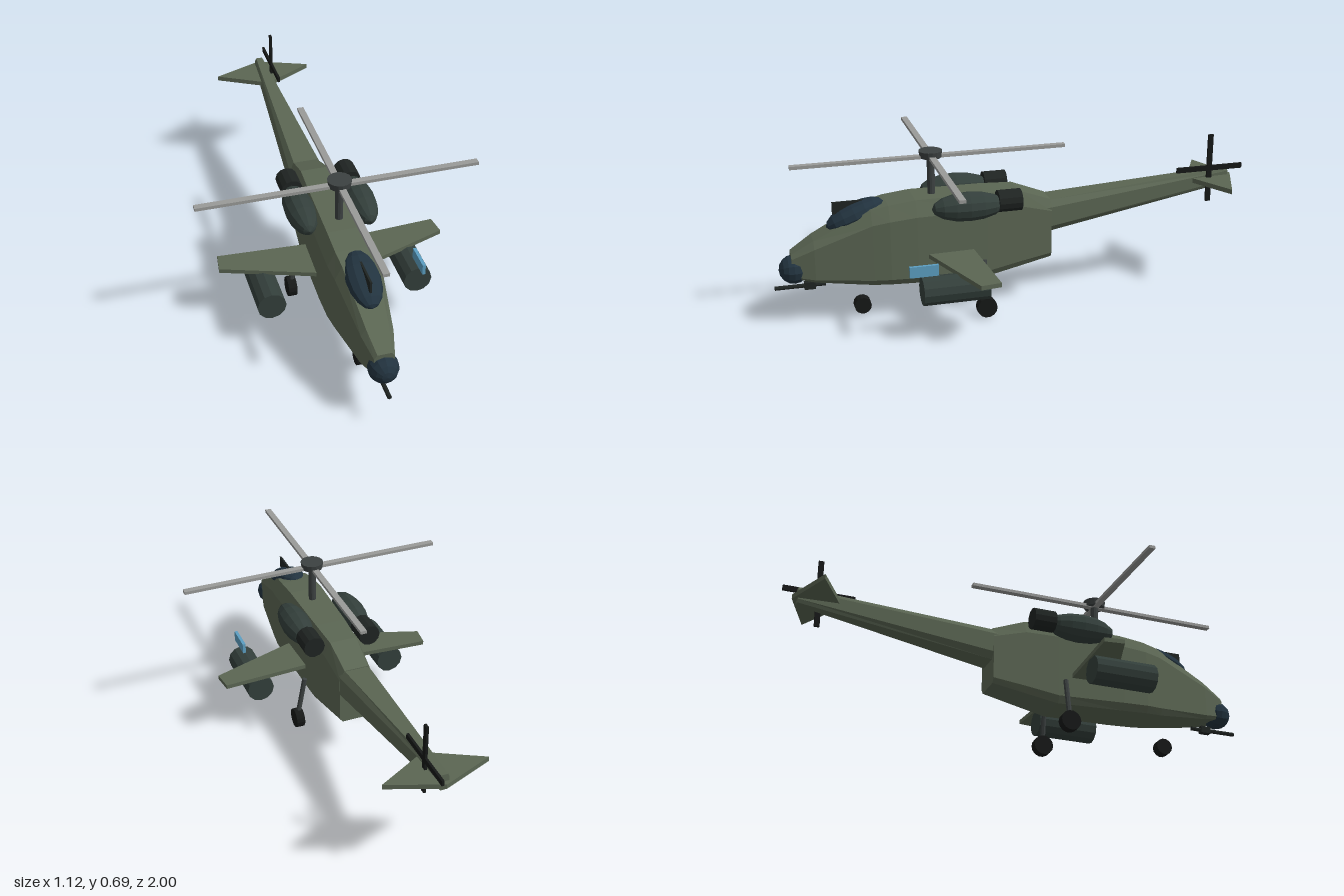
import * as THREE from 'three';

const mat = (color) => new THREE.MeshStandardMaterial({ color, flatShading: true });

export function createModel() {
  const model = new THREE.Group();
  model.name = 'helicopter';
  const green = mat(0x5b6653), pod = mat(0x333f3b), dark = mat(0x1f2422), black = mat(0x161817),
    glass = mat(0x22333f), metal = mat(0x3c4141), blade = mat(0x999a98), blue = mat(0x5c9fc2);

  const add = (name, geo, material, x = 0, y = 0, z = 0) => {
    const mesh = new THREE.Mesh(geo, material);
    mesh.name = name;
    mesh.position.set(x, y, z);
    model.add(mesh);
    return mesh;
  };
  const box = (w, h, d) => new THREE.BoxGeometry(w, h, d);
  const rodZ = (r, len, sides = 12) => new THREE.CylinderGeometry(r, r, len, sides).rotateX(Math.PI / 2);
  const wheel = (r, w) => new THREE.CylinderGeometry(r, r, w, 14).rotateZ(Math.PI / 2);
  const ball = (rx, ry, rz) =>
    new THREE.SphereGeometry(1, 12, 8).rotateX(Math.PI / 2).scale(rx, ry, rz);

  // Chamfered box sections [z, bottom, top, half width], skinned from front to back
  const loft = (sections, topRatio, bottomRatio, topCut, bottomCut) => {
    const rings = sections.map(([z, b, t, w]) => {
      const h = t - b, y1 = b + h * bottomCut, y2 = t - h * topCut;
      const half = [[w * bottomRatio, b], [w, y1], [w, y2], [w * topRatio, t]];
      const other = half.map(([x, y]) => [-x, y]).reverse();
      return [...half, ...other].map(([x, y]) => [x, y, z]);
    });
    const pos = [];
    const tri = (...points) => points.forEach((p) => pos.push(...p));
    for (let i = 0; i < rings.length - 1; i++) {
      for (let j = 0; j < 8; j++) {
        const k = (j + 1) % 8, f = rings[i], r = rings[i + 1];
        tri(f[j], r[j], f[k]);
        tri(f[k], r[j], r[k]);
      }
    }
    const front = rings[0], back = rings[rings.length - 1];
    for (let j = 1; j < 7; j++) {
      tri(front[0], front[j], front[j + 1]);
      tri(back[0], back[j + 1], back[j]);
    }
    const geo = new THREE.BufferGeometry();
    geo.setAttribute('position', new THREE.Float32BufferAttribute(pos, 3));
    geo.computeVertexNormals();
    return geo;
  };

  // Flat plate from an outline of [x, z] points
  const plate = (points, thickness) => {
    const shape = new THREE.Shape(points.map(([x, z]) => new THREE.Vector2(x, -z)));
    return new THREE.ExtrudeGeometry(shape, { depth: thickness, bevelEnabled: false })
      .rotateX(-Math.PI / 2).translate(0, -thickness / 2, 0);
  };

  // Body and tail boom
  add('fuselage', loft([
    [0.93, 0.21, 0.31, 0.04],
    [0.84, 0.19, 0.365, 0.063],
    [0.61, 0.163, 0.48, 0.094],
    [0.54, 0.16, 0.495, 0.102],
    [0.43, 0.155, 0.507, 0.102],
    [0.14, 0.147, 0.507, 0.092],
    [0, 0.173, 0.503, 0.082],
    [-0.14, 0.2, 0.45, 0.072],
  ], 0.7, 0.82, 0.18, 0.08), green);
  add('tailBoom', loft([
    [-0.1, 0.305, 0.445, 0.07],
    [-0.14, 0.31, 0.447, 0.07],
    [-0.945, 0.437, 0.505, 0.02],
  ], 0.7, 0.7, 0.2, 0.2), green);
  add('tailplane', plate([[0, -0.965], [-0.212, -0.88], [-0.03, -0.78], [0.03, -0.78], [0.212, -0.88]], 0.02),
    green, 0, 0.465, 0);

  // Canopy, nose sensor and gun
  add('canopy', ball(0.068, 0.045, 0.125), glass, 0, 0.448, 0.665).rotation.x = 0.38;
  add('canopyFin', box(0.008, 0.05, 0.17), dark, 0, 0.48, 0.67);
  add('noseSensor', ball(0.06, 0.06, 0.06), glass, 0, 0.237, 0.92);
  add('gunBarrel', rodZ(0.009, 0.205, 8), dark, 0, 0.16, 0.898);
  add('gunBody', box(0.025, 0.03, 0.045), dark, 0, 0.16, 0.86);

  // Parts on both sides
  for (const s of [-1, 1]) {
    const side = s > 0 ? 'left' : 'right';
    add(side + 'Wing', plate([[0.06, 0.4], [0.465, 0.26], [0.455, 0.177], [0.06, 0.2]]
      .map(([x, z]) => [x * s, z]), 0.018), green, 0, 0.272, 0);
    add(side + 'WeaponPod', rodZ(0.058, 0.265), pod, s * 0.3, 0.212, 0.325);
    add(side + 'Engine', ball(0.061, 0.06, 0.15), pod, s * 0.124, 0.48, 0.225);
    add(side + 'Exhaust', rodZ(0.045, 0.096), dark, s * 0.122, 0.49, 0.057);
    const strut = add(side + 'Strut', new THREE.CylinderGeometry(0.011, 0.011, 0.18, 8), metal, s * 0.13, 0.148, 0.16);
    strut.rotation.z = s * 0.19;
    add(side + 'Wheel', wheel(0.042, 0.036), black, s * 0.147, 0.043, 0.16);
  }
  add('noseWheel', wheel(0.035, 0.04), black, 0, 0.05, 0.65);
  add('wingMarker', box(0.013, 0.045, 0.115), blue, 0.305, 0.299, 0.448);

  // Main rotor
  add('mast', new THREE.CylinderGeometry(0.016, 0.016, 0.17, 12), metal, 0, 0.59, 0.35);
  add('rotorHub', new THREE.CylinderGeometry(0.048, 0.044, 0.028, 16), metal, 0, 0.674, 0.35);
  add('rotorBladesAcross', box(1.125, 0.013, 0.026), blade, 0, 0.664, 0.35);
  add('rotorBladesAlong', box(0.026, 0.013, 1.125), blade, 0, 0.664, 0.35);

  // Tail rotor
  add('tailRotorUpright', box(0.01, 0.296, 0.022), black, 0.034, 0.517, -0.852);
  add('tailRotorLevel', box(0.01, 0.022, 0.296), black, 0.034, 0.517, -0.852);

  return model;
}
